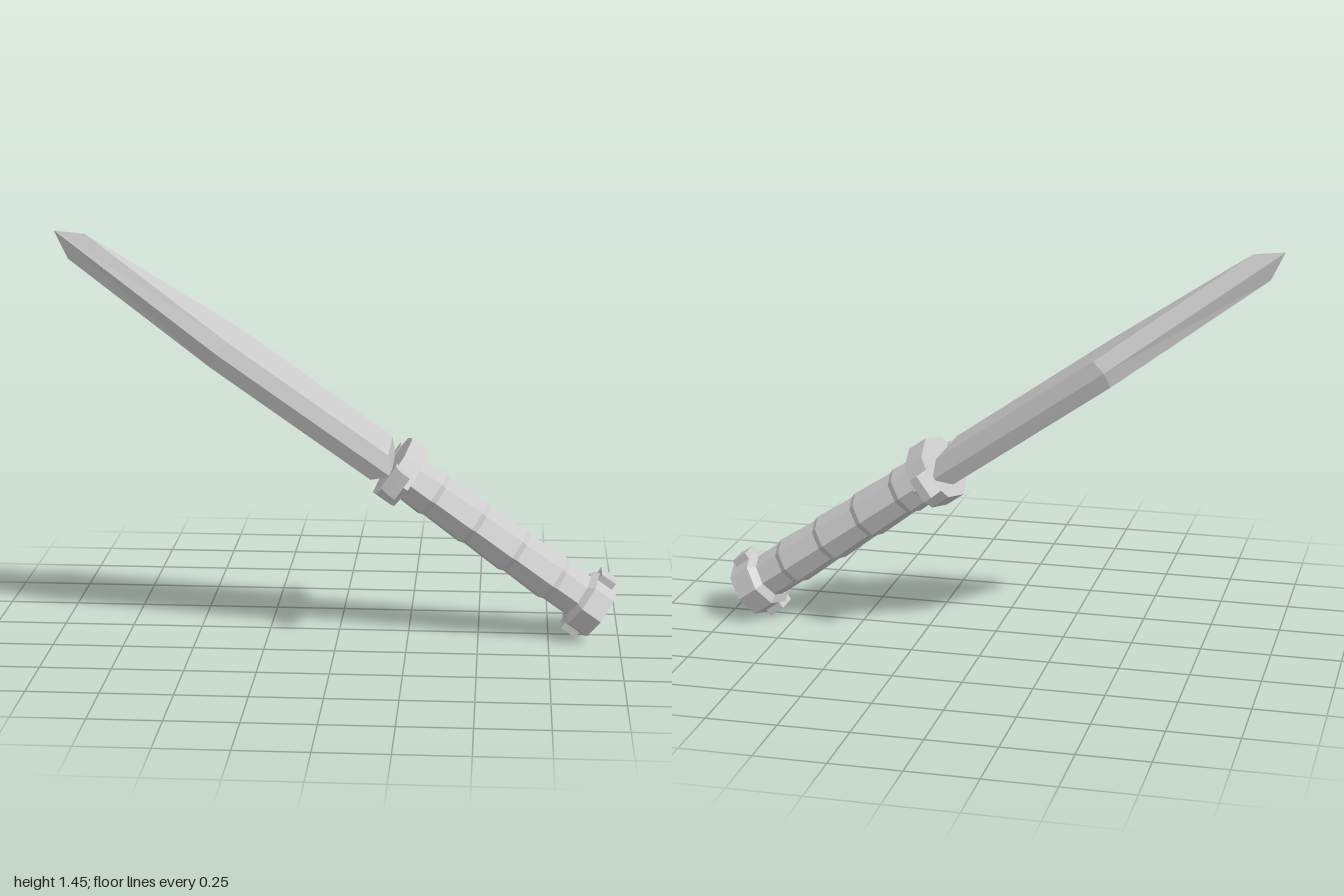
import * as THREE from 'three';

const material = new THREE.MeshStandardMaterial({ color: 0xcccccc, flatShading: true });

// Eight-sided, flattened turning from [radius, height] pairs
function octagonal(name, profile, flatten) {
  const geometry = new THREE.LatheGeometry(profile.map(([r, y]) => new THREE.Vector2(r, y)), 8);
  geometry.scale(flatten, 1, 1);
  const mesh = new THREE.Mesh(geometry, material);
  mesh.name = name;
  return mesh;
}

// Blade with a sharp outline in the middle plane and an inset flat on each side
function bladeGeometry(halfThickness) {
  const outline = [[0.905, -0.165], [1.651, -0.18], [2.358, 0.03], [1.651, 0.165], [0.905, 0.165]];
  const inset = [[0.955, -0.15], [1.638, -0.165], [2.262, 0.03], [1.638, 0.147], [0.955, 0.147]];
  const n = outline.length;
  const positions = [];
  for (const side of [1, -1]) {
    const edge = (i) => [0, ...outline[i % n]];
    const flat = (i) => [side * halfThickness, ...inset[i % n]];
    const tri = (a, b, c) => positions.push(...a, ...(side > 0 ? b : c), ...(side > 0 ? c : b));
    for (let i = 0; i < n; i++) {
      tri(edge(i), edge(i + 1), flat(i + 1));
      tri(edge(i), flat(i + 1), flat(i));
      if (i > 0 && i < n - 1) tri(flat(0), flat(i), flat(i + 1));
    }
  }
  const geometry = new THREE.BufferGeometry();
  geometry.setAttribute('position', new THREE.Float32BufferAttribute(positions, 3));
  geometry.computeVertexNormals();
  return geometry;
}

export function createModel() {
  const knife = new THREE.Group();
  knife.name = 'knife';

  const blade = new THREE.Mesh(bladeGeometry(0.054), material);
  blade.name = 'blade';
  knife.add(blade);

  // Guard plate with a chamfered lug at each end
  knife.add(octagonal('guard', [[0, 0.832], [0.19, 0.832], [0.19, 0.907], [0, 0.907]], 0.64));
  const lugShape = new THREE.Shape([[0.14, 0.853], [0.218, 0.853], [0.218, 0.885], [0.19, 0.914], [0.14, 0.914]]
    .map(([x, y]) => new THREE.Vector2(x, y)));
  for (const side of [1, -1]) {
    const geometry = new THREE.ExtrudeGeometry(lugShape, { depth: 0.092, bevelEnabled: false });
    geometry.translate(0, 0, -0.046);
    geometry.rotateY(-side * Math.PI / 2);
    const lug = new THREE.Mesh(geometry, material);
    lug.name = side > 0 ? 'guardLugFront' : 'guardLugBack';
    knife.add(lug);
  }

  // Grip with stepped rings
  const grip = [[0.106, 0.06]];
  for (const y of [0.2, 0.375, 0.55, 0.727]) grip.push([0.106, y - 0.012], [0.115, y + 0.008]);
  grip.push([0.107, 0.84]);
  knife.add(octagonal('grip', grip, 0.78));

  // Pommel with a small block above and below
  knife.add(octagonal('pommel', [[0, 0], [0.145, 0], [0.145, 0.08], [0.112, 0.1]], 0.78));
  for (const side of [1, -1]) {
    const block = new THREE.Mesh(new THREE.BoxGeometry(0.05, 0.06, 0.096), material);
    block.position.set(side * 0.098, 0.05, 0);
    block.name = side > 0 ? 'pommelBlockUpper' : 'pommelBlockLower';
    knife.add(block);
  }

  // Tilt the knife so the blade rises towards -x
  knife.rotation.z = THREE.MathUtils.degToRad(55);
  knife.position.set(0.932, 0.095, 0);

  const model = new THREE.Group();
  model.add(knife);
  return model;
}
